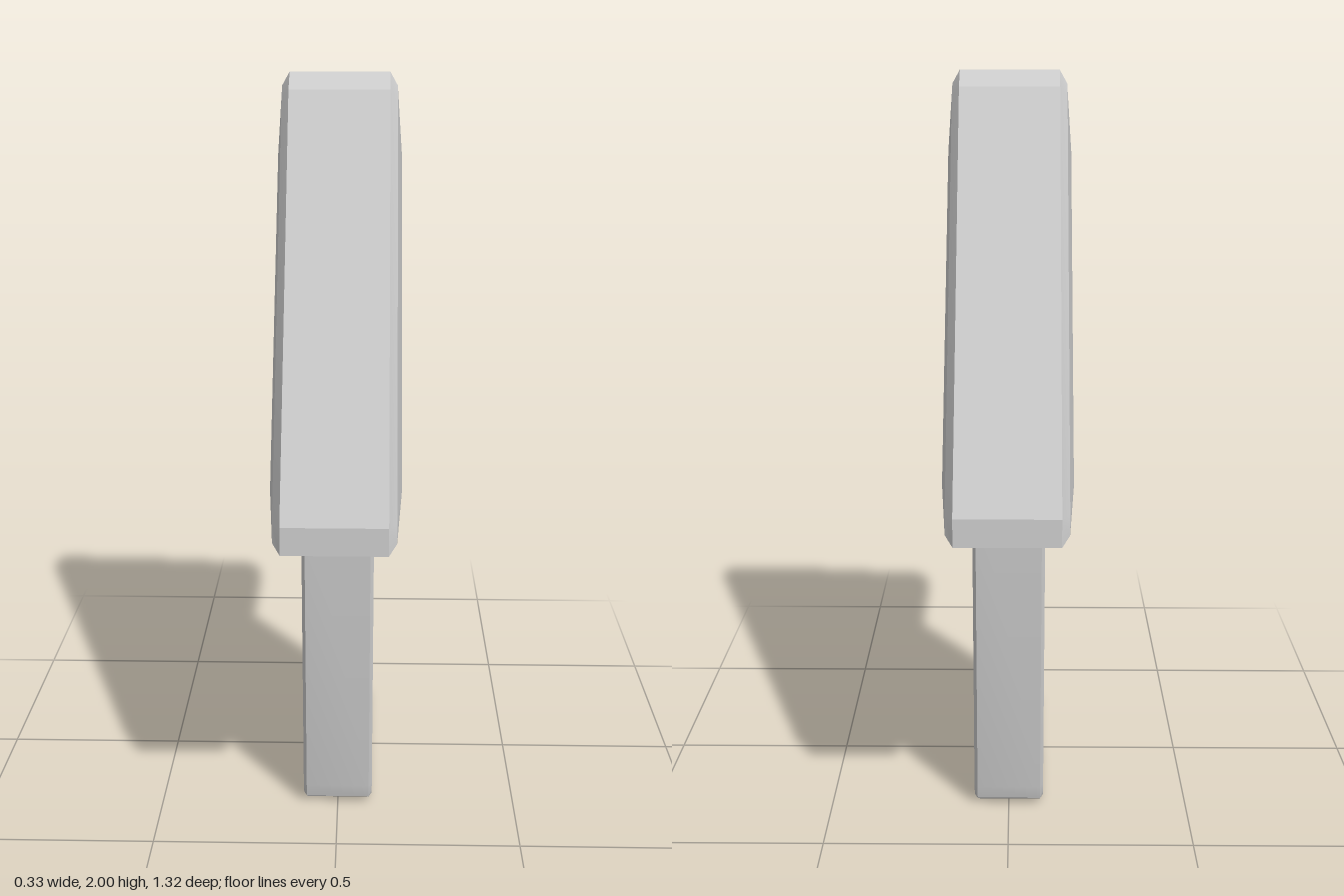
import * as THREE from 'three';
import { toCreasedNormals } from 'three/addons/utils/BufferGeometryUtils.js';

const material = new THREE.MeshStandardMaterial({ color: 0xcccccc });

// Bevelled slab lying across x. Each layer is { x, half }, where half is the
// +z half of the outline as [z, y], top to bottom; layers go from the middle out.
function bevelledSlab(name, layers) {
  const mirrored = [...layers].reverse().map(({ x, half }) => ({ x: -x, half }));
  const rings = [...mirrored, ...layers].map(({ x, half }) => {
    const back = half.filter(([z]) => z > 0).reverse().map(([z, y]) => [-z, y]);
    return [...half, ...back].map(([z, y]) => [x, y, z]);
  });
  const n = rings[0].length;
  const index = [];
  for (let i = 0; i < rings.length - 1; i++) {
    for (let j = 0; j < n; j++) {
      const a = i * n + j, b = i * n + (j + 1) % n;
      index.push(a, b, b + n, a, b + n, a + n);
    }
  }
  // flat caps on both sides
  const last = (rings.length - 1) * n;
  for (let j = 1; j < n - 1; j++) {
    index.push(0, j + 1, j);
    index.push(last, last + j, last + j + 1);
  }
  const geometry = new THREE.BufferGeometry();
  geometry.setAttribute('position', new THREE.Float32BufferAttribute(rings.flat(2), 3));
  geometry.setIndex(index);
  const mesh = new THREE.Mesh(toCreasedNormals(geometry, 0.35), material);
  mesh.name = name;
  return mesh;
}

export function createModel() {
  const model = new THREE.Group();
  model.name = 'upArrow';

  // Triangular head with clipped corners and a soft, two-step bevel
  model.add(bevelledSlab('arrowHead', [
    { x: 0.13, half: [[0, 2], [0.065, 1.96], [0.655, 1.0], [0.66, 0.93], [0.57, 0.905]] },
    { x: 0.15, half: [[0, 1.965], [0.04, 1.935], [0.62, 1.0], [0.63, 0.95], [0.56, 0.93]] },
    { x: 0.163, half: [[0, 1.79], [0.01, 1.775], [0.485, 1.04], [0.49, 1.025], [0.47, 1.02]] },
  ]));

  // Thin rectangular stem with rounded lower corners, running up into the head
  const stemOutline = (inset) => [
    [0.315 - inset, 0.97],
    [0.315 - inset, 0.06],
    [0.307 - inset, 0.02 + inset],
    [0.28, inset],
  ];
  model.add(bevelledSlab('stem', [
    { x: 0.088, half: stemOutline(0) },
    { x: 0.097, half: stemOutline(0.015) },
  ]));

  return model;
}
